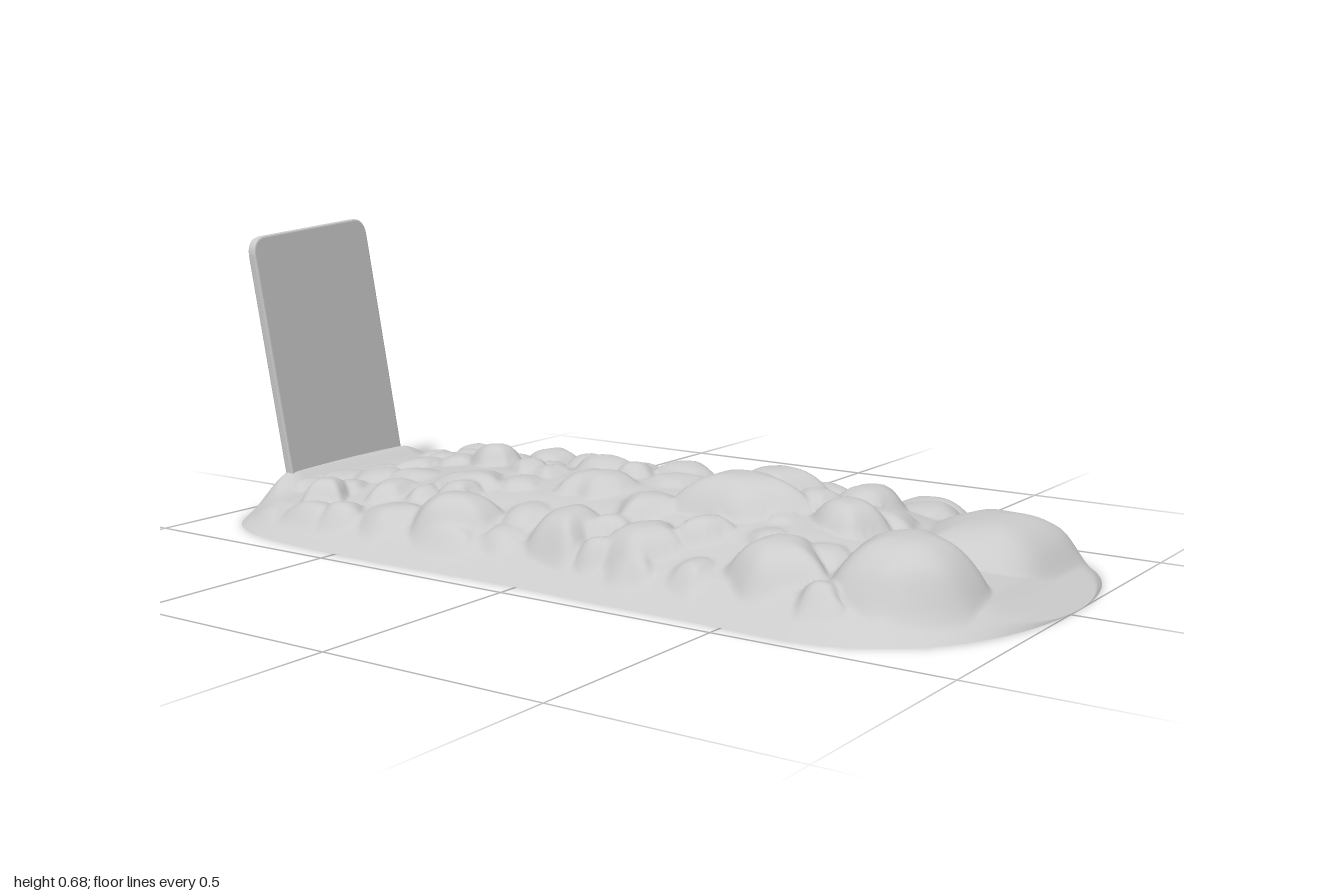
import * as THREE from 'three';

const { smoothstep, lerp } = THREE.MathUtils;

// Larger stones: x, z, radius x, radius z, rise above the soil
const BIG_STONES = [
  [-0.21, 0.76, 0.16, 0.15, 0.085], [0.13, 0.75, 0.23, 0.16, 0.048],
  [-0.06, 0.55, 0.09, 0.09, 0.045], [0.12, 0.50, 0.11, 0.08, 0.04],
  [0.30, 0.54, 0.10, 0.12, 0.04], [-0.28, 0.52, 0.11, 0.10, 0.05],
  [-0.06, 0.30, 0.12, 0.15, 0.06], [0.12, 0.27, 0.10, 0.12, 0.052],
  [0.29, 0.30, 0.08, 0.12, 0.04], [-0.28, 0.20, 0.10, 0.10, 0.04],
  [-0.28, 0.00, 0.10, 0.09, 0.05], [-0.28, -0.29, 0.09, 0.13, 0.05],
  [0.08, 0.06, 0.08, 0.10, 0.035], [0.31, -0.10, 0.09, 0.10, 0.045],
  [0.04, -0.13, 0.08, 0.10, 0.035], [0.04, -0.45, 0.07, 0.08, 0.05],
  [0.28, -0.47, 0.09, 0.09, 0.045], [0.29, -0.31, 0.09, 0.08, 0.04],
  [-0.27, -0.70, 0.07, 0.07, 0.045], [0.28, -0.72, 0.08, 0.08, 0.04],
  [-0.38, 0.66, 0.05, 0.06, 0.025], [-0.36, 0.79, 0.05, 0.05, 0.02],
];

function seeded(seed) {
  return () => {
    seed = (seed * 16807) % 2147483647;
    return seed / 2147483647;
  };
}

// Mid line of the outline: the front tip sits a little to the left
const middleX = (z) => 0.05 * smoothstep(z, 0.6, 1);

// Half width of the mound's outline; the ends are rounded
function halfWidth(z, side) {
  const power = z < 0 ? 9 : side > 0 ? 5.5 : 7;
  const middle = side > 0 ? 0.442 + 0.045 * Math.max(0, z) : 0.455 + 0.045 * smoothstep(z, 0.3, 0.9);
  const wobble = 0.004 * Math.sin(9 * z + side);
  return (middle + wobble) * Math.sqrt(Math.max(0, 1 - Math.abs(z) ** power));
}

// Distance from the edge, blended smoothly round the corners
function inset(x, z) {
  const dx = x - middleX(z);
  const a = Math.max(0, halfWidth(z, dx < 0 ? -1 : 1) - Math.abs(dx));
  const b = Math.max(0, 1 - Math.abs(z));
  return a * b === 0 ? 0 : (a ** -4 + b ** -4) ** -0.25;
}

// Bare soil: a sloping skirt, a crowned middle and a low ridge at the slab's foot
function soil(x, z) {
  const e = inset(x, z);
  const crown = (1.15 - 0.5 * (z - 0.25) ** 2) * (1 - 0.25 * smoothstep(z, 0.5, 0.75));
  const ridge = 0.045 * Math.exp(-(((z + 0.895) / 0.05) ** 2)) * (1 - smoothstep(Math.abs(x), 0.19, 0.32));
  return 0.052 * Math.min(1, e / 0.1)
    + crown * (0.058 * smoothstep(e, 0.04, 0.3) + 0.03 * smoothstep(e, 0.2, 0.45))
    + ridge * smoothstep(e, 0, 0.09);
}

function makeStones() {
  const random = seeded(71);
  const list = BIG_STONES.slice();
  // Small stones fill the gaps on a jittered grid
  for (let z = -0.81; z < 0.7; z += 0.115) {
    for (let x = -0.33; x < 0.36; x += 0.113) {
      const px = x + (random() - 0.5) * 0.07;
      const pz = z + (random() - 0.5) * 0.07;
      const r = lerp(0.055, 0.09, random());
      const rise = lerp(0.008, 0.034, random());
      const covered = BIG_STONES.some(([bx, bz, rx, rz]) =>
        Math.hypot((px - bx) / rx, (pz - bz) / rz) < 0.85);
      if (!covered) list.push([px, pz, r, r * lerp(0.75, 1.2, random()), rise]);
    }
  }
  return list.map(([x, z, rx, rz, rise]) => {
    const sides = 5 + Math.floor(random() * 2);
    const turn = random() * Math.PI;
    const normals = Array.from({ length: sides }, (_, k) => {
      const a = turn + ((k + (random() - 0.5) * 0.5) / sides) * Math.PI * 2;
      return [Math.cos(a), Math.sin(a)];
    });
    return {
      x, z, rx, rz, rise, normals, top: soil(x, z) + rise,
      tiltX: (random() - 0.5) * 0.03, tiltZ: (random() - 0.5) * 0.03,
    };
  });
}

// Domed, rounded-polygon stone seen as a height
function stoneHeight(s, x, z) {
  const u = (x - s.x) / s.rx;
  const v = (z - s.z) / s.rz;
  if (u * u + v * v > 2) return 0;
  let sum = 0;
  for (const [a, b] of s.normals) sum += Math.max(0, a * u + b * v) ** 8;
  const d = sum ** (1 / 8);
  return s.top + s.tiltX * u + s.tiltZ * v - (s.rise + 0.035) * d ** 2.8;
}

// Open shell whose rows run from the back to the front
function moundGeometry() {
  const cols = 130, rows = 260;
  const stones = makeStones();
  const positions = [], indices = [];
  for (let j = 0; j <= rows; j++) {
    const z = Math.sin((j / rows - 0.5) * Math.PI);
    for (let i = 0; i <= cols; i++) {
      const t = (i / cols) * 2 - 1;
      const x = middleX(z) + t * halfWidth(z, t < 0 ? -1 : 1);
      const ground = soil(x, z);
      let high = ground;
      for (const s of stones) high = Math.max(high, stoneHeight(s, x, z));
      const mask = smoothstep(inset(x, z), 0.03, 0.11);
      positions.push(x, lerp(ground, high, mask), z);
    }
  }
  for (let j = 0; j < rows; j++) {
    for (let i = 0; i < cols; i++) {
      const a = j * (cols + 1) + i, b = a + cols + 1;
      indices.push(a, b, a + 1, b, b + 1, a + 1);
    }
  }
  const geometry = new THREE.BufferGeometry();
  geometry.setAttribute('position', new THREE.Float32BufferAttribute(positions, 3));
  geometry.setIndex(indices);
  geometry.computeVertexNormals();
  return geometry;
}

// Thin upright slab with rounded upper corners
function slabGeometry() {
  const w = 0.2, h = 0.573, r = 0.04, low = -0.025;
  const shape = new THREE.Shape();
  shape.moveTo(-w, low);
  shape.lineTo(w, low);
  shape.lineTo(w, h - r);
  shape.quadraticCurveTo(w, h, w - r, h);
  shape.lineTo(-w + r, h);
  shape.quadraticCurveTo(-w, h, -w, h - r);
  const geometry = new THREE.ExtrudeGeometry(shape, {
    depth: 0.012, bevelSize: 0.005, bevelThickness: 0.005, bevelSegments: 3, curveSegments: 10,
  });
  return geometry.translate(0, 0, -0.006);
}

export function createModel() {
  const group = new THREE.Group();
  group.name = 'stoneCoveredGrave';
  const material = new THREE.MeshStandardMaterial({ color: 0xcccccc, side: THREE.DoubleSide });

  const mound = new THREE.Mesh(moundGeometry(), material);
  mound.name = 'stoneMound';

  // Headstone leans back and sideways
  const slab = new THREE.Mesh(slabGeometry(), material);
  slab.name = 'headstone';
  slab.position.set(-0.008, 0.1, -0.9);
  slab.rotation.set(-0.12, 0.055, 0.078);

  group.add(mound, slab);
  return group;
}
